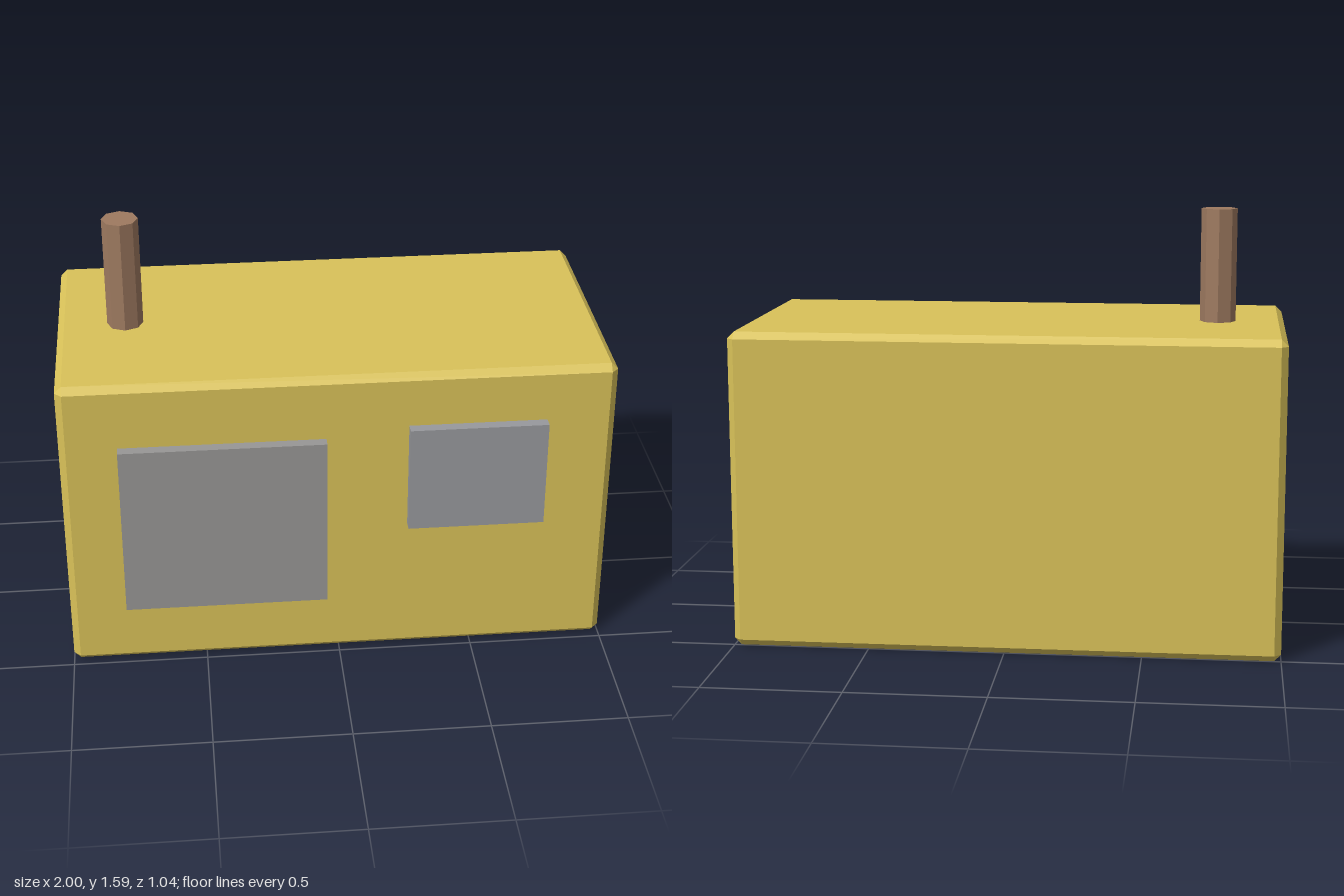
import * as THREE from 'three';
import { ConvexGeometry } from 'three/addons/geometries/ConvexGeometry.js';

// Box with flat chamfers on every edge, centred on the origin
function chamferedBox(w, h, d, c) {
  const points = [];
  for (const sx of [-1, 1]) for (const sy of [-1, 1]) for (const sz of [-1, 1]) {
    const x = w / 2, y = h / 2, z = d / 2;
    for (const [px, py, pz] of [[x, y - c, z - c], [x - c, y, z - c], [x - c, y - c, z]]) {
      points.push(new THREE.Vector3(sx * px, sy * py, sz * pz));
    }
  }
  return new ConvexGeometry(points);
}

export function createModel() {
  const model = new THREE.Group();
  model.name = 'cabin';

  function add(name, geometry, color, x, y, z) {
    const material = new THREE.MeshStandardMaterial({ color, flatShading: true });
    const mesh = new THREE.Mesh(geometry, material);
    mesh.name = name;
    mesh.position.set(x, y, z);
    model.add(mesh);
  }

  // Main block
  add('body', chamferedBox(2, 1.166, 1, 0.025), 0xd9c259, 0, 0.583, -0.02);

  // Raised panels on the front
  add('largePanel', new THREE.BoxGeometry(0.745, 0.67, 0.06), 0x989795, -0.42, 0.586, 0.49);
  add('smallPanel', new THREE.BoxGeometry(0.5, 0.413, 0.06), 0x98999d, 0.5, 0.753, 0.49);

  // Octagonal chimney, sunk slightly into the roof
  add('chimney', new THREE.CylinderGeometry(0.0665, 0.0665, 0.455, 8), 0x9e7a60, -0.75, 1.3575, -0.02);

  return model;
}
